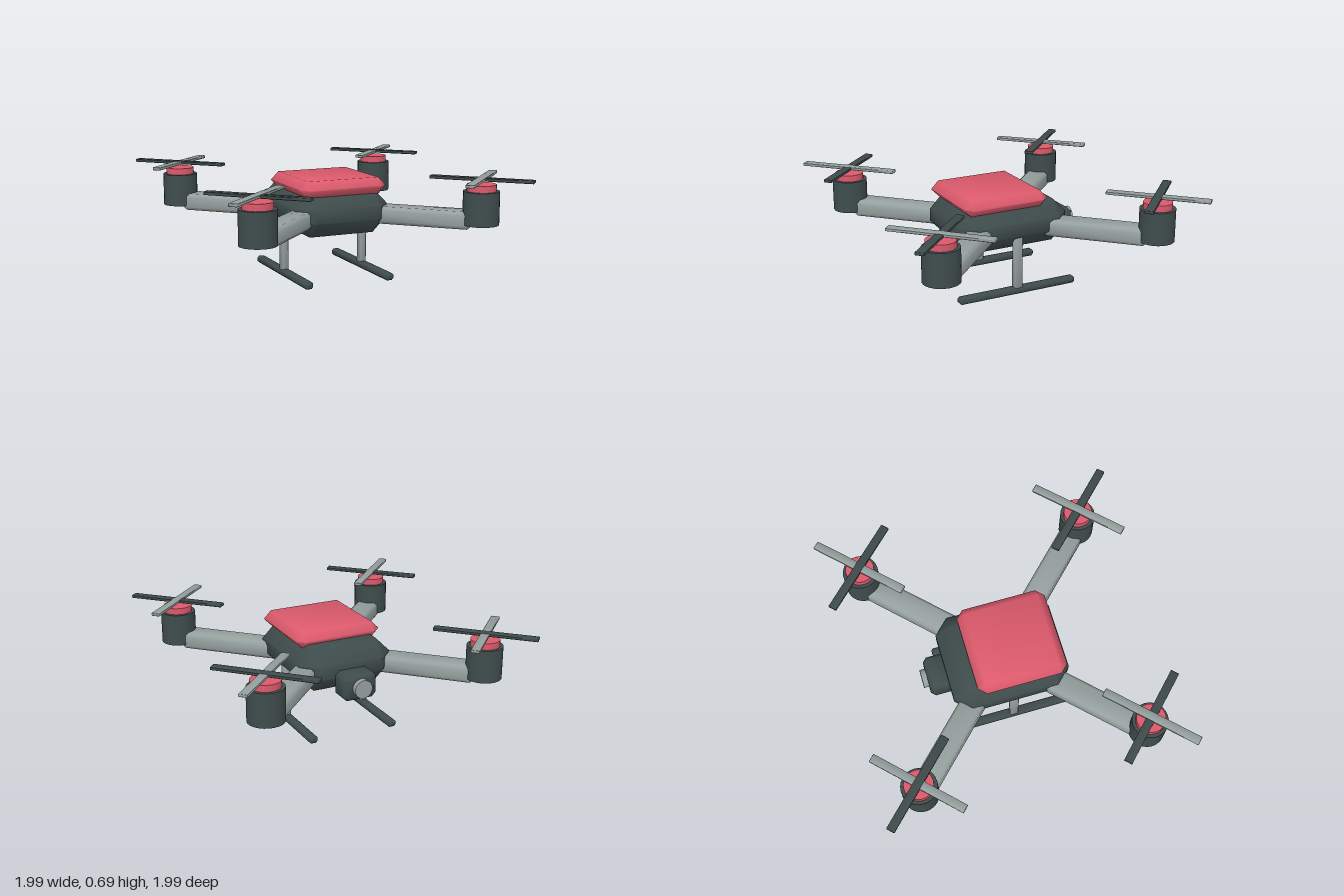
import * as THREE from 'three';
import { ConvexGeometry } from 'three/addons/geometries/ConvexGeometry.js';
import { toCreasedNormals } from 'three/addons/utils/BufferGeometryUtils.js';

const dark = new THREE.MeshStandardMaterial({ color: 0x3f4c4c });
const grey = new THREE.MeshStandardMaterial({ color: 0x96a19f });
const red = new THREE.MeshStandardMaterial({ color: 0xdc5a6c });

// Box of size w, h, d with every edge cut by a straight bevel
function chamferBox(w, h, d, bevel) {
  const points = [];
  const half = [w / 2, h / 2, d / 2];
  for (const sx of [-1, 1]) for (const sy of [-1, 1]) for (const sz of [-1, 1]) {
    for (let axis = 0; axis < 3; axis++) {
      const [x, y, z] = half.map((v, i) => (i === axis ? v : v - bevel));
      points.push(new THREE.Vector3(sx * x, sy * y, sz * z));
    }
  }
  return toCreasedNormals(new ConvexGeometry(points), 0.9);
}

function addPart(parent, name, geometry, material, x, y, z) {
  const mesh = new THREE.Mesh(geometry, material);
  mesh.name = name;
  mesh.position.set(x, y, z);
  parent.add(mesh);
  return mesh;
}

export function createModel() {
  const model = new THREE.Group();
  model.name = 'quadcopter';

  // Body and top shell
  addPart(model, 'body', chamferBox(0.64, 0.285, 0.77, 0.1), dark, 0, 0.4425, 0);
  addPart(model, 'topShell', chamferBox(0.59, 0.106, 0.59, 0.05), red, 0, 0.608, 0.065);

  // Camera at the back
  addPart(model, 'camera', chamferBox(0.23, 0.17, 0.155, 0.027), dark, 0, 0.365, -0.433);
  const lens = new THREE.CylinderGeometry(0.06, 0.06, 0.07, 20).rotateX(Math.PI / 2);
  addPart(model, 'cameraLens', lens, grey, 0, 0.365, -0.51);

  // Landing gear
  const leg = chamferBox(0.045, 0.39, 0.058, 0.006);
  const skid = chamferBox(0.058, 0.046, 0.84, 0.012);
  for (const side of [-1, 1]) {
    const gear = new THREE.Group();
    gear.name = side > 0 ? 'leftLandingGear' : 'rightLandingGear';
    addPart(gear, 'leg', leg, grey, side * 0.282, 0.225, 0);
    addPart(gear, 'skid', skid, dark, side * 0.282, 0.023, 0);
    model.add(gear);
  }

  // Four diagonal arms, each with a motor and a crossed propeller
  const arm = chamferBox(0.155, 0.113, 0.75, 0.02);
  const motor = new THREE.CylinderGeometry(0.115, 0.115, 0.213, 24);
  const cap = new THREE.CylinderGeometry(0.093, 0.093, 0.06, 24);
  const blade = chamferBox(0.055, 0.02, 0.66, 0.003);
  for (const sx of [-1, 1]) for (const sz of [-1, 1]) {
    const rotor = new THREE.Group();
    rotor.name = (sz > 0 ? 'front' : 'back') + (sx > 0 ? 'Left' : 'Right') + 'Rotor';
    const x = sx * 0.745, z = sz * 0.745;
    const armMesh = addPart(rotor, 'arm', arm, grey, sx * 0.442, 0.417, sz * 0.442);
    armMesh.rotation.y = Math.atan2(sx, sz);
    addPart(rotor, 'motor', motor, dark, x, 0.496, z);
    addPart(rotor, 'motorCap', cap, red, x, 0.615, z);
    // The blades overlap by almost their full thickness
    const lift = sz * 0.001;
    addPart(rotor, 'darkBlade', blade, dark, x, 0.677 - lift, z).rotation.y = Math.PI / 4;
    addPart(rotor, 'greyBlade', blade, grey, x, 0.677 + lift, z).rotation.y = -Math.PI / 4;
    model.add(rotor);
  }
  return model;
}
